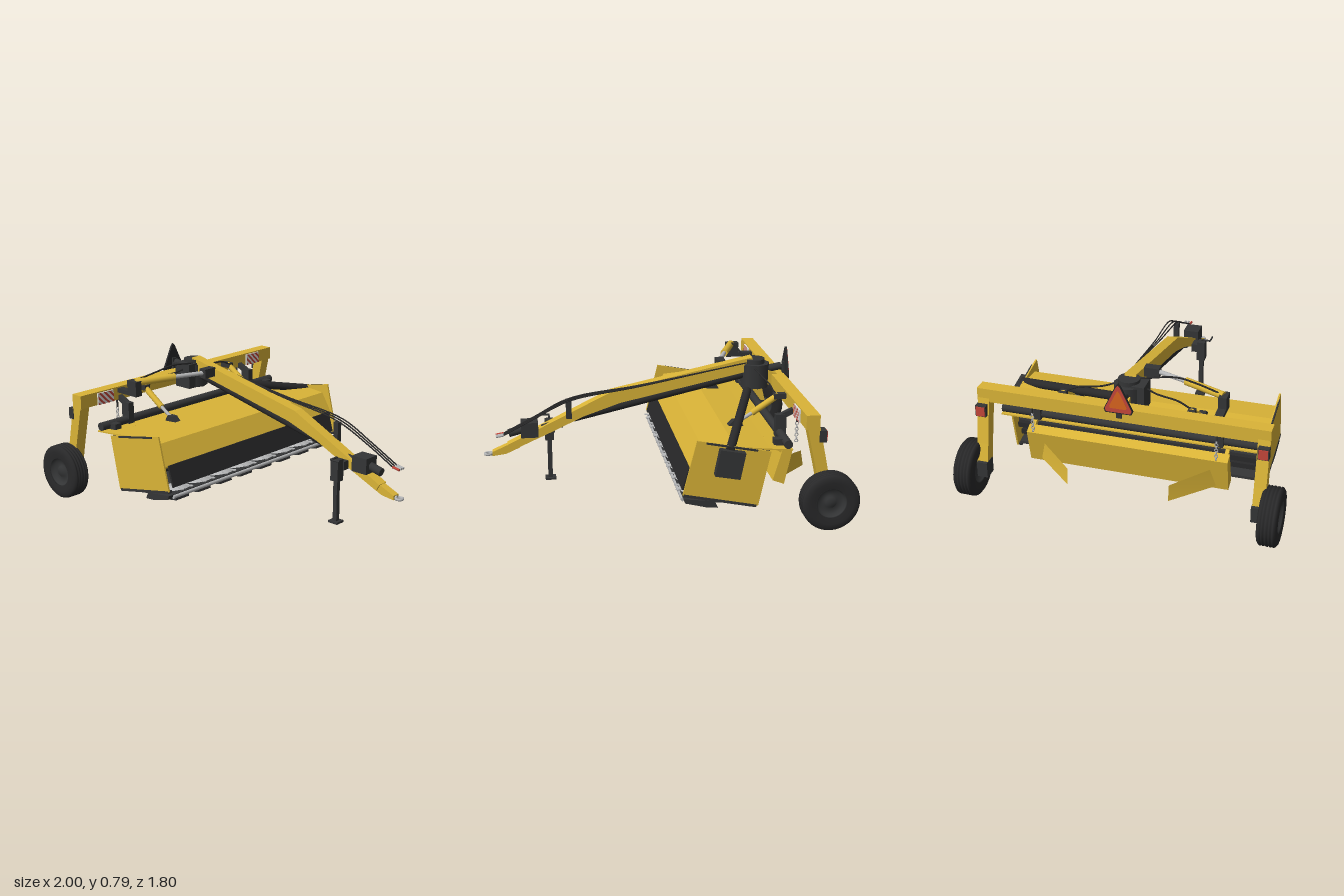
import * as THREE from 'three';

const mat = (name, color, side = THREE.FrontSide) => {
  const m = new THREE.MeshStandardMaterial({ color, side });
  m.name = name;
  return m;
};

export function createModel() {
  const root = new THREE.Group();
  root.name = 'trailedMower';
  const yellow = mat('yellow paint', 0xdab437, THREE.DoubleSide);
  const dark = mat('dark steel', 0x343536);
  const rubber = mat('black rubber', 0x29292a, THREE.DoubleSide);
  const grey = mat('bare steel', 0xb4b5b6);
  const red = mat('red', 0xc4463a, THREE.DoubleSide);
  const white = mat('white', 0xe6e4e0);
  const orange = mat('orange', 0xd8641f);

  const V = (p) => new THREE.Vector3(...p);
  const add = (name, geo, m) => {
    const mesh = new THREE.Mesh(geo, m);
    mesh.name = name;
    root.add(mesh);
    return mesh;
  };
  // box from its min and max corners
  const box = (name, m, x0, x1, y0, y1, z0, z1) => {
    const b = add(name, new THREE.BoxGeometry(x1 - x0, y1 - y0, Math.abs(z1 - z0)), m);
    b.position.set((x0 + x1) / 2, (y0 + y1) / 2, (z0 + z1) / 2);
    return b;
  };
  // round bar between two points
  const rod = (name, m, a, b, r, r2 = r, seg = 16) => {
    const p = V(a), d = V(b).sub(p);
    const mesh = add(name, new THREE.CylinderGeometry(r2, r, d.length(), seg), m);
    mesh.quaternion.setFromUnitVectors(new THREE.Vector3(0, 1, 0), d.clone().normalize());
    mesh.position.copy(p).addScaledVector(d, 0.5);
    return mesh;
  };
  // square bar between two points
  const bar = (name, m, a, b, w, h) => {
    const p = V(a), q = V(b);
    const mesh = add(name, new THREE.BoxGeometry(w, h, p.distanceTo(q)), m);
    mesh.position.copy(p).lerp(q, 0.5);
    mesh.lookAt(q);
    return mesh;
  };
  // side profile (x, y) extruded across z
  const prism = (name, m, pts, depth, z = 0) => {
    const shape = new THREE.Shape(pts.map((p) => new THREE.Vector2(...p)));
    const mesh = add(name, new THREE.ExtrudeGeometry(shape, { depth, bevelEnabled: false }), m);
    mesh.position.z = z - depth / 2;
    return mesh;
  };
  const hose = (name, pts, r = 0.005) =>
    add(name, new THREE.TubeGeometry(new THREE.CatmullRomCurve3(pts.map(V), false, 'centripetal'), 32, r, 6), rubber);

  // drawbar with a bend, hitch and towing eye
  prism('drawbar', yellow, [[-0.58, 0.74], [0.25, 0.565], [0.62, 0.385], [0.86, 0.268],
    [0.84, 0.23], [0.58, 0.345], [0.42, 0.42], [0.2, 0.495], [-0.6, 0.665]], 0.064);
  prism('hitchTongue', yellow, [[0.8, 0.29], [0.95, 0.225], [0.95, 0.2], [0.87, 0.21], [0.79, 0.245]], 0.045);
  rod('hitchNeck', grey, [0.9, 0.21, 0], [0.96, 0.209, 0], 0.013);
  const eye = add('towingEye', new THREE.TorusGeometry(0.019, 0.008, 8, 20), grey);
  eye.rotation.x = Math.PI / 2;
  eye.position.set(0.973, 0.209, 0);

  // driveline under the drawbar and the front gearbox
  rod('mainDriveshaft', rubber, [-0.62, 0.652, 0], [0.47, 0.408, 0], 0.024);
  rod('shaftCone', dark, [0.54, 0.38, 0], [0.66, 0.36, 0], 0.03, 0.012);
  box('frontGearbox', dark, 0.68, 0.78, 0.31, 0.4, -0.047, 0.047);
  rod('inputShaft', dark, [0.77, 0.35, 0], [0.85, 0.33, 0], 0.024);

  // parking jack with crank
  box('jackSleeve', dark, 0.585, 0.637, 0.25, 0.375, 0.065, 0.115);
  box('jackLeg', dark, 0.598, 0.624, 0.01, 0.26, 0.077, 0.103);
  box('jackFoot', dark, 0.578, 0.642, 0, 0.012, 0.06, 0.12);
  box('jackMount', dark, 0.58, 0.645, 0.31, 0.36, 0.03, 0.07);
  rod('jackCrank', dark, [0.61, 0.385, 0.09], [0.61, 0.385, 0.145], 0.006);
  rod('jackHandle', dark, [0.61, 0.385, 0.145], [0.67, 0.385, 0.145], 0.005);

  // swivel gearbox at the rear of the drawbar
  const swivel = add('swivelGearbox', new THREE.CylinderGeometry(0.085, 0.085, 0.14, 8), dark);
  swivel.position.set(-0.605, 0.63, 0);
  rod('swivelCap', dark, [-0.6, 0.69, 0], [-0.6, 0.727, 0], 0.06, 0.06, 24);
  box('swivelBlock', dark, -0.66, -0.54, 0.56, 0.71, 0.03, 0.1);
  rod('rearStub', dark, [-0.76, 0.675, 0], [-0.62, 0.65, 0], 0.022);
  rod('sideDriveshaft', rubber, [-0.535, 0.565, -0.115], [-0.305, 0.435, -0.75], 0.025);

  // rear cross beam
  box('rearBeam', yellow, -0.775, -0.7, 0.555, 0.633, -0.81, 0.81);
  prism('beamCarrier', yellow, [[-0.74, 0.63], [-0.58, 0.7], [-0.56, 0.63], [-0.7, 0.56]], 0.06);

  // slow vehicle triangle
  const tri = (r) => new THREE.Shape([[0, 1], [0.13, 0.85], [0.8, -0.55], [0.72, -0.75], [-0.72, -0.75], [-0.8, -0.55], [-0.13, 0.85]]
    .map(([a, b]) => new THREE.Vector2(a * r, b * r)));
  [['signBack', 0.1, rubber, -0.793], ['signBorder', 0.092, red, -0.795], ['signCentre', 0.06, orange, -0.797]].forEach(([n, r, m, x]) => {
    const s = add(n, new THREE.ExtrudeGeometry(tri(r), { depth: n === 'signBack' ? 0.012 : 0.003, bevelEnabled: false }), m);
    s.rotation.y = Math.PI / 2;
    s.position.set(x, 0.69, 0);
  });
  box('signPost', dark, -0.783, -0.77, 0.58, 0.7, -0.015, 0.015);

  // tyre and rim profile: radius, axial offset
  const tyre = [[0.085, -0.05], [0.12, -0.055], [0.145, -0.052], [0.158, -0.042]];
  for (const y of [-0.028, -0.01, 0.01, 0.028]) {
    tyre.push([0.16, y - 0.006], [0.154, y - 0.003], [0.154, y + 0.003], [0.16, y + 0.006]);
  }
  tyre.push([0.158, 0.042], [0.145, 0.052], [0.12, 0.055], [0.085, 0.05]);
  const rim = [[0, -0.03], [0.03, -0.03], [0.035, -0.02], [0.07, -0.025], [0.08, -0.045], [0.088, -0.05],
    [0.088, 0.05], [0.08, 0.045], [0.07, 0.025], [0.035, 0.02], [0.03, 0.035], [0, 0.035]];
  const lathe = (p) => new THREE.LatheGeometry(p.map((q) => new THREE.Vector2(...q)), 36);

  // red and white striped board, clipped to its rectangle
  const board = (z) => {
    const w = 0.118, h = 0.07, d = 0.018;
    box('markerBoard', white, -0.7, -0.691, 0.556, 0.626, z - w / 2, z + w / 2);
    const low = (c) => [Math.min(c, w), Math.max(0, c - w)];
    const high = (c) => [Math.max(0, c - h), Math.min(c, h)];
    for (let c = 0; c < w + h - d; c += 2 * d) {
      const e = c + d, pts = [low(c)];
      if (c < w && w < e) pts.push([w, 0]);
      pts.push(low(e), high(e));
      if (c < h && h < e) pts.push([0, h]);
      pts.push(high(c));
      const s = add('boardStripe', new THREE.ShapeGeometry(new THREE.Shape(pts.map((p) => new THREE.Vector2(...p)))), red);
      s.rotation.y = Math.PI / 2;
      s.position.set(-0.689, 0.556, z + w / 2);
    }
  };

  // everything paired on both sides
  for (const s of [-1, 1]) {
    for (const [n, p, m] of [['tyre', tyre, rubber], ['rim', rim, dark]]) {
      const wheel = add(n, lathe(p), m);
      wheel.rotation.x = s * Math.PI / 2;
      wheel.position.set(-0.835, 0.161, s * 0.843);
    }
    const leg = prism('wheelLeg', yellow, [[-0.77, 0.6], [-0.7, 0.6], [-0.765, 0.32], [-0.79, 0.2], [-0.86, 0.2], [-0.83, 0.32]], 0.065, s * 0.775);
    leg.name = s > 0 ? 'leftWheelLeg' : 'rightWheelLeg';
    box('axleBlock', dark, -0.875, -0.795, 0.13, 0.22, s * 0.74, s * 0.8);
    box('tailLamp', dark, -0.815, -0.775, 0.48, 0.545, s * 0.75, s * 0.81);
    box('tailLens', red, -0.82, -0.814, 0.485, 0.54, s * 0.755, s * 0.805);
    board(s * 0.63);
    // hangers and chains
    box('hanger', dark, -0.665, -0.605, 0.42, 0.55, s * 0.495, s * 0.535);
    bar('hangerArm', dark, [-0.71, 0.57, s * 0.515], [-0.62, 0.53, s * 0.515], 0.03, 0.03);
    for (let i = 0; i < 7; i++) {
      const link = add('chainLink', new THREE.TorusGeometry(0.009, 0.003, 5, 10), grey);
      link.position.set(-0.73, 0.39 + i * 0.017, s * 0.515);
      link.rotation.y = (i % 2) * Math.PI / 2;
    }
    rod('chainHook', dark, [-0.73, 0.5, s * 0.515], [-0.73, 0.56, s * 0.515], 0.006);
    // lift cylinders
    const z = s * 0.36;
    box('liftMount', dark, -0.7, -0.63, 0.59, 0.62, z - 0.02, z + 0.02);
    rod('liftBarrel', yellow, [-0.66, 0.61, z], [-0.51, 0.51, z], 0.018);
    rod('liftRod', grey, [-0.51, 0.51, z], [-0.41, 0.45, z], 0.01);
    prism('liftFoot', dark, [[-0.46, 0.44], [-0.44, 0.475], [-0.4, 0.475], [-0.37, 0.445]], 0.04, z);
    hose('liftHose', [[-0.64, 0.61, z], [-0.63, 0.645, s * 0.28], [-0.61, 0.66, s * 0.15], [-0.58, 0.69, s * 0.05]]);
    // mower end plates, skids and rear brackets
    prism('endPlate', yellow, [[-0.535, 0.415], [-0.13, 0.495], [-0.055, 0.19], [-0.47, 0.105]], 0.01, s * 0.733);
    bar('endSkid', dark, [-0.46, 0.105, s * 0.725], [-0.06, 0.187, s * 0.725], 0.03, 0.015);
    bar('topRail', dark, [-0.46, 0.425, s * 0.74], [-0.18, 0.48, s * 0.74], 0.008, 0.01);
    box('rearBracket', dark, -0.63, -0.565, 0.42, 0.46, s * 0.63, s * 0.675);
    // converging swath wings
    const a = [-0.66, s * 0.5], b = [-0.84, s * 0.285];
    const wing = new THREE.BufferGeometry();
    wing.setAttribute('position', new THREE.Float32BufferAttribute([a[0], 0.17, a[1], b[0], 0.15, b[1],
      b[0] + 0.015, 0.24, b[1], a[0], 0.29, a[1]], 3));
    wing.setIndex([0, 1, 2, 0, 2, 3]);
    wing.computeVertexNormals();
    add('swathWing', wing, yellow);
    bar('swathArm', yellow, [-0.64, 0.35, s * 0.55], [-0.53, 0.42, s * 0.55], 0.02, 0.025);
  }

  // hood shell with a dark liner
  const hood = (dy) => [[-0.655, 0.42], [-0.53, 0.43], [-0.34, 0.45], [-0.17, 0.435], [-0.1, 0.32]].map(([x, y]) => [x, y + dy]);
  prism('hood', yellow, [...hood(0), ...hood(-0.008).reverse()], 1.465);
  prism('hoodLiner', dark, [...hood(-0.01).slice(1), ...hood(-0.016).slice(1).reverse()], 1.45);
  rod('rearTube', dark, [-0.63, 0.446, -0.73], [-0.63, 0.446, 0.73], 0.024);
  bar('frontCurtain', rubber, [-0.098, 0.325, 0], [-0.062, 0.205, 0], 1.4, 0.012);
  prism('swathBoard', yellow, [[-0.695, 0.35], [-0.645, 0.375], [-0.59, 0.18], [-0.655, 0.155]], 1.14);

  // cutter bar, discs with knives and the conditioner
  prism('cutterBar', dark, [[-0.25, 0.105], [-0.19, 0.11], [-0.07, 0.14], [-0.06, 0.165], [-0.23, 0.145]], 1.47);
  rod('cutterEdge', grey, [-0.062, 0.15, -0.7], [-0.062, 0.15, 0.7], 0.011);
  prism('floorPlate', dark, [[-0.46, 0.112], [-0.24, 0.13], [-0.24, 0.145], [-0.46, 0.128]], 1.44);
  for (let i = 0; i < 8; i++) {
    const z = -0.6125 + i * 0.175;
    rod('cutterDisc', grey, [-0.13, 0.165, z], [-0.134, 0.185, z], 0.08, 0.055, 20);
    for (const k of [-1, 1]) bar('knife', grey, [-0.09, 0.188, z + k * 0.02], [-0.035, 0.188, z + k * 0.04], 0.018, 0.005);
    box('cutterSkid', dark, -0.25, -0.08, 0.1, 0.13, z - 0.05, z + 0.05).rotation.z = 0.17;
  }
  rod('conditionerRotor', dark, [-0.4, 0.26, -0.72], [-0.4, 0.26, 0.72], 0.06);
  for (let i = 0; i < 6; i++) {
    const t = (i * Math.PI) / 3;
    bar('rotorFin', rubber, [-0.4 + Math.cos(t) * 0.08, 0.26 + Math.sin(t) * 0.08, -0.71],
      [-0.4 + Math.cos(t) * 0.08, 0.26 + Math.sin(t) * 0.08, 0.71], 0.03, 0.03);
  }
  box('beltCover', dark, -0.375, -0.235, 0.29, 0.44, -0.78, -0.738).rotation.z = 0.19;

  // steering cylinder
  box('steerPost', dark, -0.61, -0.535, 0.6, 0.69, 0.49, 0.535);
  box('steerArm', dark, -0.71, -0.6, 0.6, 0.625, 0.49, 0.535);
  rod('steerBarrel', yellow, [-0.565, 0.68, 0.51], [-0.475, 0.685, 0.28], 0.022);
  rod('steerRod', grey, [-0.475, 0.685, 0.28], [-0.41, 0.685, 0.1], 0.013);
  box('steerMount', dark, -0.435, -0.385, 0.655, 0.71, 0.03, 0.115);
  hose('steerHose', [[-0.57, 0.69, 0.5], [-0.545, 0.72, 0.35], [-0.54, 0.735, 0.24], [-0.56, 0.71, 0.05]]);

  // hydraulic hoses to the tractor
  box('hoseStand', dark, 0.485, 0.517, 0.42, 0.535, -0.06, -0.03);
  [[-0.06, -0.045], [-0.08, -0.07], [-0.1, -0.095]].forEach(([zEnd, zMid], i) => {
    hose('supplyHose', [[-0.56, 0.71, -0.03], [-0.4, 0.685, -0.04], [0.1, 0.6, (zMid - 0.04) / 2], [0.5, 0.54, zMid],
      [0.7, 0.445, zEnd], [0.88, 0.352, zEnd]], 0.004);
    rod('hoseCoupler', [red, grey, grey][i], [0.88, 0.352, zEnd], [0.925, 0.345, zEnd], 0.007, 0.007, 8);
  });
  return root;
}
